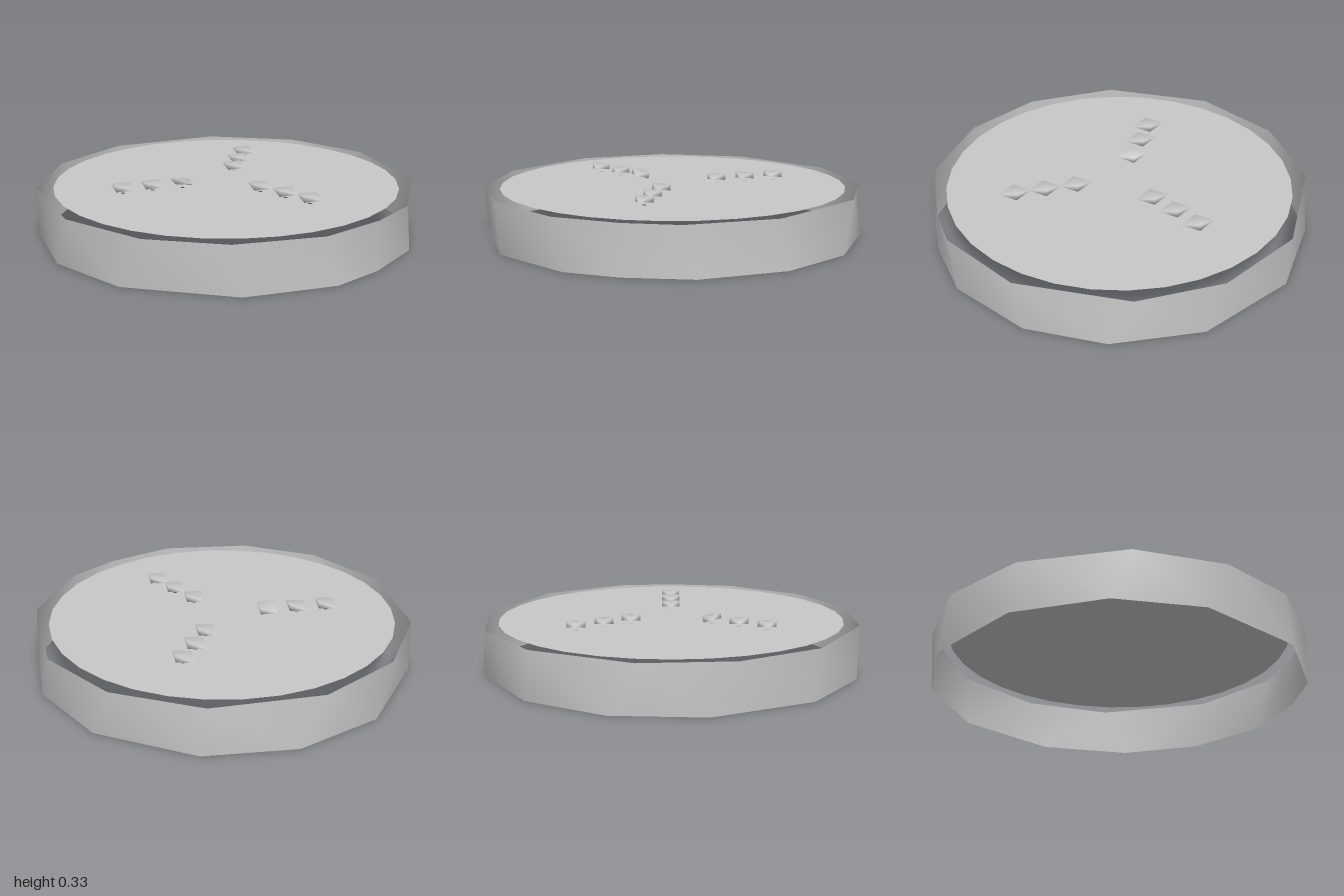
import * as THREE from 'three';

const grey = new THREE.MeshStandardMaterial({ color: 0xc8c8c8, side: THREE.DoubleSide });
grey.name = 'plain grey';

// Smooth geometry from points and triangle indices
function surface(points, index) {
  const g = new THREE.BufferGeometry();
  g.setAttribute('position', new THREE.Float32BufferAttribute(points, 3));
  g.setIndex(index);
  g.computeVertexNormals();
  return g;
}

// Faceted outer band: the lower rim is the upper rim mirrored front to back
function bandGeometry(height) {
  const upper = [0, 17, 45, 80, 107, 136, 170, 198, 226, 259, 287, 312, 339];
  const n = upper.length;
  const points = [], index = [];
  const put = (deg, y) => {
    const a = THREE.MathUtils.degToRad(deg), r = deg === 0 ? 1 : 1.016;
    points.push(r * Math.cos(a), y, -r * Math.sin(a));
  };
  for (let i = 0; i < n; i++) {
    put(upper[i], height);
    put(i === 0 ? 0 : 360 - upper[n - i], 0);
    const a = 2 * i, b = 2 * ((i + 1) % n);
    index.push(a, a + 1, b + 1, a, b + 1, b);
  }
  return surface(points, index);
}

// Small diamond stud: pointed in x, tall at both z corners, sunken in the middle
function studGeometry() {
  const w = 0.09, d = 0.05, h = 0.018;
  const ring = [[w, 0, 0], [0, h, -d], [-w, 0, 0], [0, h, d]];
  const points = [
    ...ring.flat(),
    ...ring.map(([x, y, z]) => [x, -y, z]).flat(),
    0, 0.003, 0, 0, -0.003, 0,
  ];
  const index = [];
  for (let i = 0; i < 4; i++) {
    const j = (i + 1) % 4;
    index.push(8, i, j, 9, 4 + j, 4 + i);
    if (i % 2 === 0) index.push(i, 4 + j, j);
    else index.push(i, 4 + i, j);
  }
  return surface(points, index);
}

function circle(r, sides, cx = 0, cy = 0) {
  return Array.from({ length: sides }, (_, i) => {
    const a = (i / sides) * Math.PI * 2;
    return new THREE.Vector2(cx + r * Math.cos(a), cy + r * Math.sin(a));
  });
}

export function createModel() {
  const group = new THREE.Group();
  const height = 0.265;
  const add = (name, geometry) => {
    const mesh = new THREE.Mesh(geometry, grey);
    mesh.name = name;
    group.add(mesh);
    return mesh;
  };

  add('outerBand', bandGeometry(height));

  // Three radiating rows of studs
  const spots = [[0.24, 0], [0.41, 0], [0.57, 0]];
  for (const side of [-1, 1]) {
    for (const [x, z] of [[-0.125, 0.215], [-0.21, 0.355], [-0.29, 0.497]]) spots.push([x, side * z]);
  }

  // Round top plate with a pinhole under each stud
  const plate = new THREE.Shape(circle(0.93, 32));
  for (const [x, z] of spots) plate.holes.push(new THREE.Path(circle(0.012, 6, x, -z)));
  const top = add('topPlate', new THREE.ShapeGeometry(plate));
  top.rotation.x = -Math.PI / 2;
  top.position.y = height;

  const stud = studGeometry();
  spots.forEach(([x, z], i) => {
    const mesh = add('stud' + (i + 1), stud);
    mesh.position.set(x, 0.298, z);
    if (i === 6) mesh.rotation.x = -0.25; // one stud sits tilted
  });

  return group;
}
